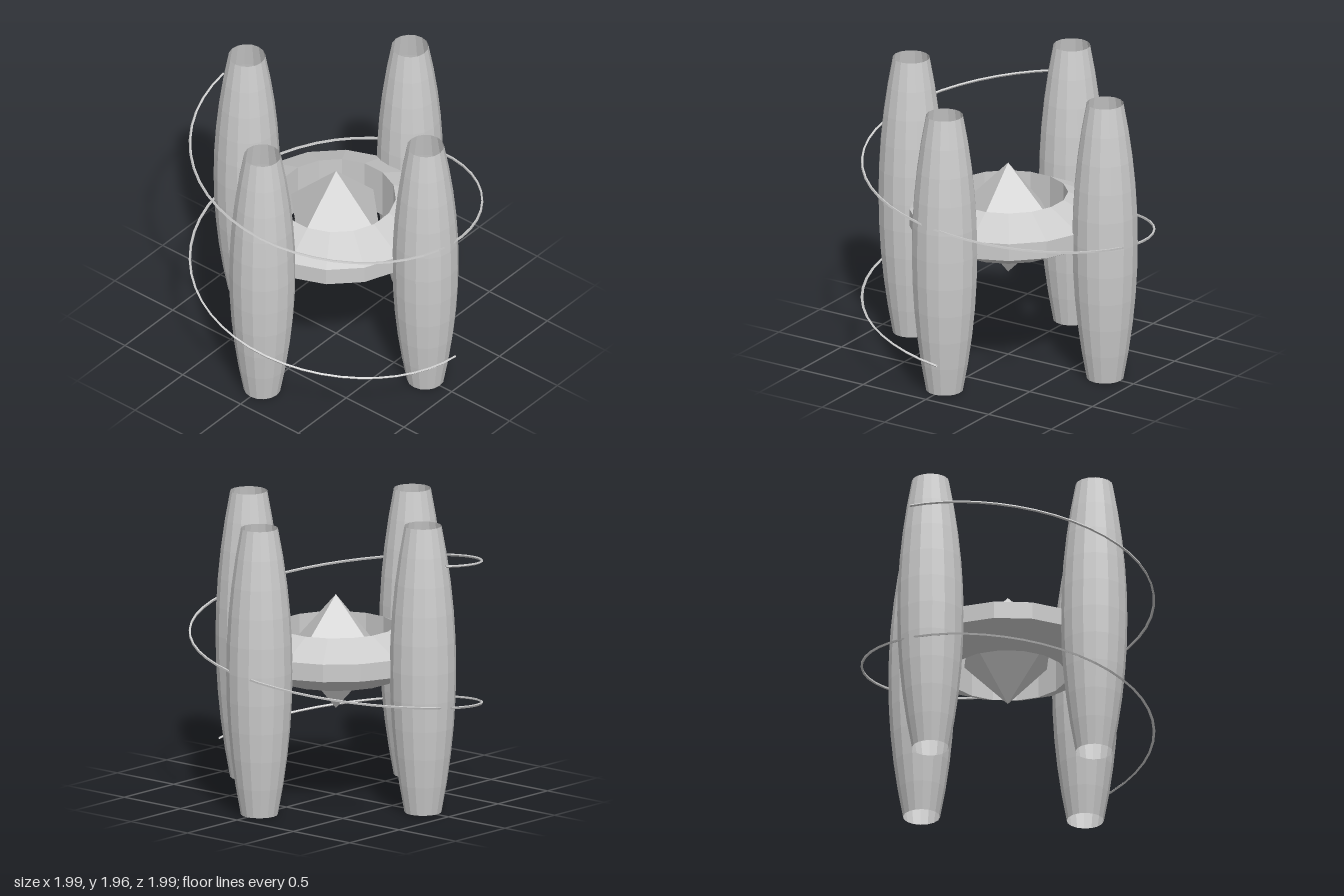
import * as THREE from 'three';

const MID = 0.98; // height of the model's centre

// Rising coil: starts just short of +x, passes +z, ends at -x after one and a half turns
class Helix extends THREE.Curve {
  getPoint(t, target = new THREE.Vector3()) {
    const a = THREE.MathUtils.lerp(-0.07, 3 * Math.PI, t);
    return target.set(0.975 * Math.cos(a), 0.255 + 0.97 * a / (2 * Math.PI), 0.975 * Math.sin(a));
  }
}

export function createModel() {
  const model = new THREE.Group();
  const flat = new THREE.MeshStandardMaterial({ color: 0xcccccc, flatShading: true });
  const open = new THREE.MeshStandardMaterial({ color: 0xcccccc, flatShading: true, side: THREE.DoubleSide });

  const add = (name, geometry, material) => {
    const mesh = new THREE.Mesh(geometry, material);
    mesh.name = name;
    model.add(mesh);
    return mesh;
  };

  // Four open, barrel-shaped pods around the centre
  const profile = [];
  for (let i = 0; i <= 10; i++) {
    const u = i / 5 - 1;
    profile.push(new THREE.Vector2(0.222 - 0.098 * u * u, MID + MID * u));
  }
  const podGeometry = new THREE.LatheGeometry(profile, 16);
  ['frontPod', 'leftPod', 'backPod', 'rightPod'].forEach((name, i) => {
    const a = i * Math.PI / 2;
    add(name, podGeometry, open).position.set(0.773 * Math.sin(a), 0, 0.773 * Math.cos(a));
  });

  // Central ring: tall inner wall, sloping to a narrow outer rim
  const section = [[0.4, -0.18], [0.658, -0.06], [0.658, 0.06], [0.4, 0.18], [0.4, -0.18]]
    .map(([r, y]) => new THREE.Vector2(r, y));
  add('ring', new THREE.LatheGeometry(section, 16, Math.PI / 16), flat).position.y = MID;

  // Crystal floating in the ring
  add('crystal', new THREE.OctahedronGeometry(0.39), flat).position.y = MID;

  // Thin coil wrapped around the pods
  add('coil', new THREE.TubeGeometry(new Helix(), 72, 0.009, 4), open);

  return model;
}
